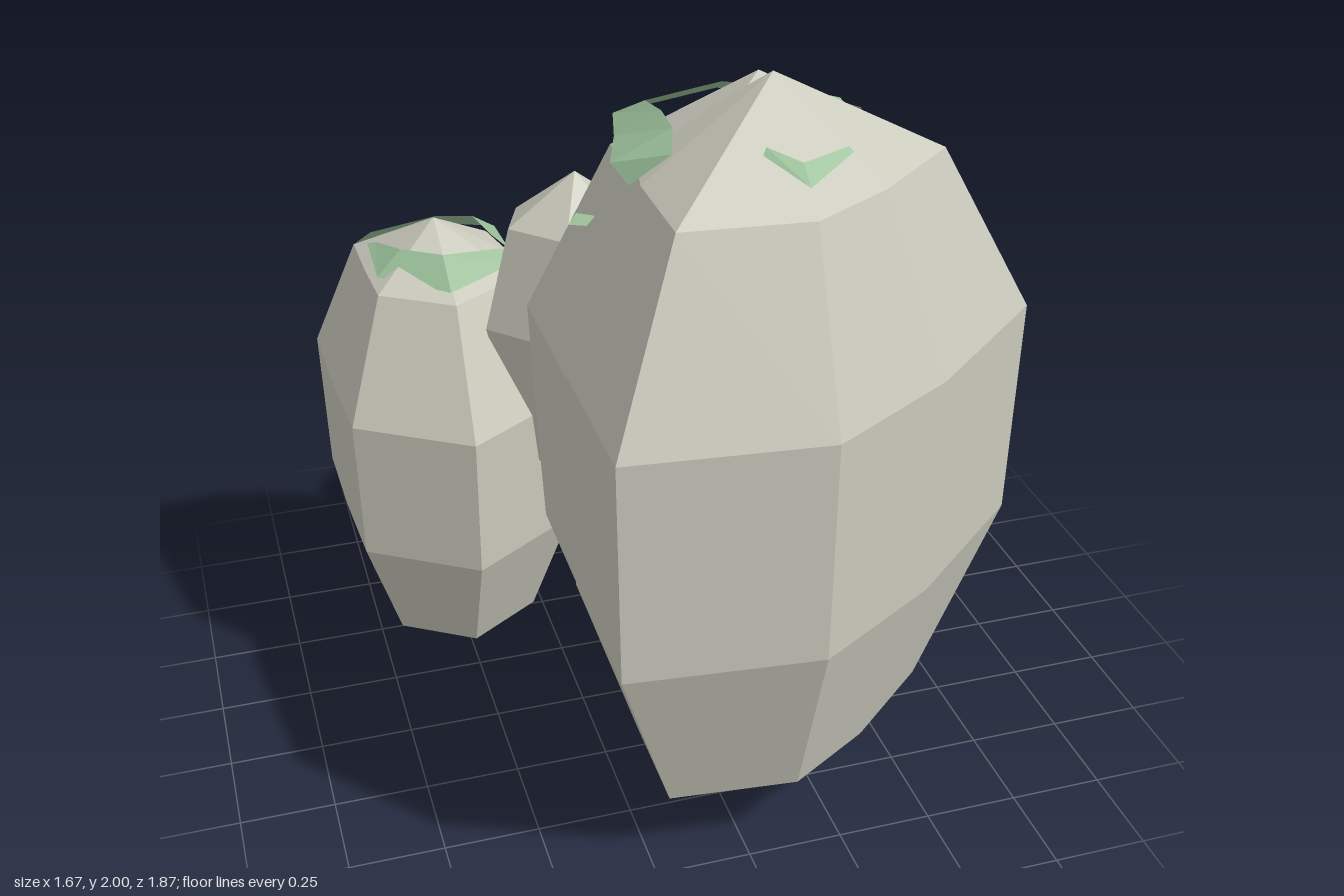
import * as THREE from 'three';

const stone = new THREE.MeshStandardMaterial({ color: 0xcacabd, flatShading: true });
stone.name = 'stone';
const moss = new THREE.MeshStandardMaterial({ color: 0x9abf98, flatShading: true, side: THREE.DoubleSide });
moss.name = 'moss';

function meshFrom(name, positions, material) {
  const geometry = new THREE.BufferGeometry();
  geometry.setAttribute('position', new THREE.Float32BufferAttribute(positions, 3));
  geometry.computeVertexNormals();
  const mesh = new THREE.Mesh(geometry, material);
  mesh.name = name;
  return mesh;
}

// Faceted boulder: a plan outline [x, z] scaled about its axis at each ring [y, scale],
// closed by a point at the bottom and one at the top, which may lean off the axis
function boulder(name, [cx, cz], bottom, top, rings, outline, [leanX, leanZ] = [0, 0]) {
  const pos = [];
  const n = outline.length;
  const at = (ring, i) => {
    const [y, s] = rings[ring];
    const [x, z] = outline[i % n];
    return [cx + (x - cx) * s, y, cz + (z - cz) * s];
  };
  const last = rings.length - 1;
  for (let i = 0; i < n; i++) {
    pos.push(...at(0, i + 1), ...at(0, i), cx, bottom, cz);
    pos.push(...at(last, i), ...at(last, i + 1), cx + leanX, top, cz + leanZ);
    for (let r = 0; r < last; r++) {
      const a = at(r, i), b = at(r, i + 1), c = at(r + 1, i + 1), d = at(r + 1, i);
      pos.push(...a, ...b, ...d, ...b, ...c, ...d);
    }
  }
  return meshFrom(name, pos, stone);
}

// Moss strip between pairs of [outer, inner] points
function mossStrip(name, pairs) {
  const pos = [];
  for (let i = 0; i < pairs.length - 1; i++) {
    const [a, b] = pairs[i], [c, d] = pairs[i + 1];
    pos.push(...a, ...b, ...c, ...b, ...d, ...c);
  }
  return meshFrom(name, pos, moss);
}

export function createModel() {
  const group = new THREE.Group();
  group.name = 'mossyBoulders';

  // Tall main rock, split into three slabs
  group.add(
    boulder('mainRockFront', [0.12, 0.43], 0.02, 2.0,
      [[0.22, 0.66], [0.72, 0.98], [1.31, 1], [1.765, 0.63]],
      [[0.12, 0.93], [0.46, 0.73], [0.82, 0.42], [0.7, 0.37], [0.12, 0.1], [-0.3, 0.1], [-0.38, 0.45], [-0.38, 0.88]]),
    boulder('mainRockMiddle', [0.11, 0.36], 0.02, 1.98,
      [[0.25, 0.6], [0.7, 0.95], [1.28, 1], [1.75, 0.61]],
      [[0.11, 0.8], [0.42, 0.62], [0.83, 0.36], [0.45, 0.06], [0.11, -0.21], [-0.1, -0.15], [-0.37, 0], [-0.37, 0.7]]),
    boulder('mainRockBack', [0.08, 0.23], 0.01, 1.7,
      [[0.17, 0.6], [0.64, 0.95], [1.08, 1], [1.45, 0.72]],
      [[0.1, 0.6], [0.45, 0.5], [0.66, 0.26], [0.48, 0], [0.08, -0.28], [-0.15, -0.15], [-0.36, -0.02], [-0.36, 0.4]]),
  );

  // Surrounding rocks
  group.add(
    boulder('leftRock', [-0.525, -0.44], 0, 1.36,
      [[0.17, 0.65], [0.5, 0.97], [0.9, 1], [1.23, 0.63]],
      [[-0.525, 0.02], [-0.22, -0.18], [-0.2, -0.44], [-0.25, -0.69], [-0.53, -0.745], [-0.84, -0.72], [-0.835, -0.44], [-0.82, -0.17]]),
    boulder('backRock', [0.085, -0.585], 0.07, 1.37,
      [[0.19, 0.66], [0.56, 0.97], [0.93, 1], [1.22, 0.68]],
      [[0.085, -0.28], [0.3, -0.37], [0.39, -0.6], [0.35, -0.83], [0.085, -0.94], [-0.12, -0.79], [-0.3, -0.6], [-0.15, -0.38]]),
    boulder('middleRock', [-0.2, -0.15], 0.6, 1.57,
      [[0.75, 0.65], [1.15, 1], [1.43, 0.72]],
      [[-0.28, 0.03], [-0.05, -0.03], [0.02, -0.22], [-0.03, -0.43], [-0.22, -0.41], [-0.38, -0.33], [-0.45, -0.15]]),
    boulder('backRightRock', [0.37, -0.35], 0.28, 1.18,
      [[0.42, 0.75], [0.75, 1], [1.05, 0.72]],
      [[0.22, -0.15], [0.49, -0.11], [0.67, -0.35], [0.52, -0.64], [0.36, -0.65], [0.19, -0.34]]),
    boulder('rightRock', [0.48, 0.1], 0.93, 1.76,
      [[1.02, 0.55], [1.33, 1], [1.61, 0.8]],
      [[0.4, 0.28], [0.62, 0.31], [0.74, 0.23], [0.63, -0.08], [0.33, -0.07], [0.3, 0.1]],
      [-0.08, 0.14]),
  );

  // Moss on the main rock
  group.add(
    mossStrip('mainMoss', [
      [[-0.21, 1.75, 0.4], [-0.12, 1.83, 0.44]],
      [[-0.24, 1.79, 0.35], [-0.1, 1.87, 0.38]],
      [[-0.2, 1.81, 0.24], [-0.1, 1.88, 0.29]],
      [[-0.17, 1.82, 0.12], [-0.11, 1.87, 0.19]],
      [[0.1, 1.845, 0.09], [0.1, 1.875, 0.13]],
      [[0.42, 1.79, 0.1], [0.24, 1.87, 0.2]],
      [[0.45, 1.75, 0.19], [0.38, 1.85, 0.33]],
    ]),
    mossStrip('frontMoss', [
      [[0.04, 1.87, 0.6], [0.05, 1.885, 0.59]],
      [[0.12, 1.82, 0.69], [0.12, 1.86, 0.64]],
      [[0.25, 1.86, 0.61], [0.24, 1.87, 0.6]],
    ]),
  );
  for (const [x, y, z] of [[0.3, 1.68, 0.04], [-0.27, 1.59, 0.21]]) {
    group.add(mossStrip('mossTuft', [
      [[x - 0.04, y, z + 0.01], [x - 0.01, y + 0.01, z - 0.03]],
      [[x, y, z + 0.03], [x + 0.03, y + 0.01, z]],
    ]));
  }

  // Moss on the left rock
  group.add(
    mossStrip('leftMossBack', [
      [[-0.72, 1.24, -0.6], [-0.68, 1.28, -0.57]],
      [[-0.5, 1.27, -0.61], [-0.5, 1.31, -0.56]],
      [[-0.33, 1.25, -0.58], [-0.4, 1.31, -0.53]],
      [[-0.32, 1.24, -0.44], [-0.37, 1.29, -0.44]],
    ]),
    mossStrip('leftMossFront', [
      [[-0.7, 1.28, -0.5], [-0.68, 1.29, -0.48]],
      [[-0.7, 1.25, -0.34], [-0.63, 1.31, -0.37]],
      [[-0.53, 1.25, -0.19], [-0.53, 1.315, -0.29]],
      [[-0.34, 1.26, -0.3], [-0.36, 1.29, -0.34]],
    ]),
  );
  return group;
}
